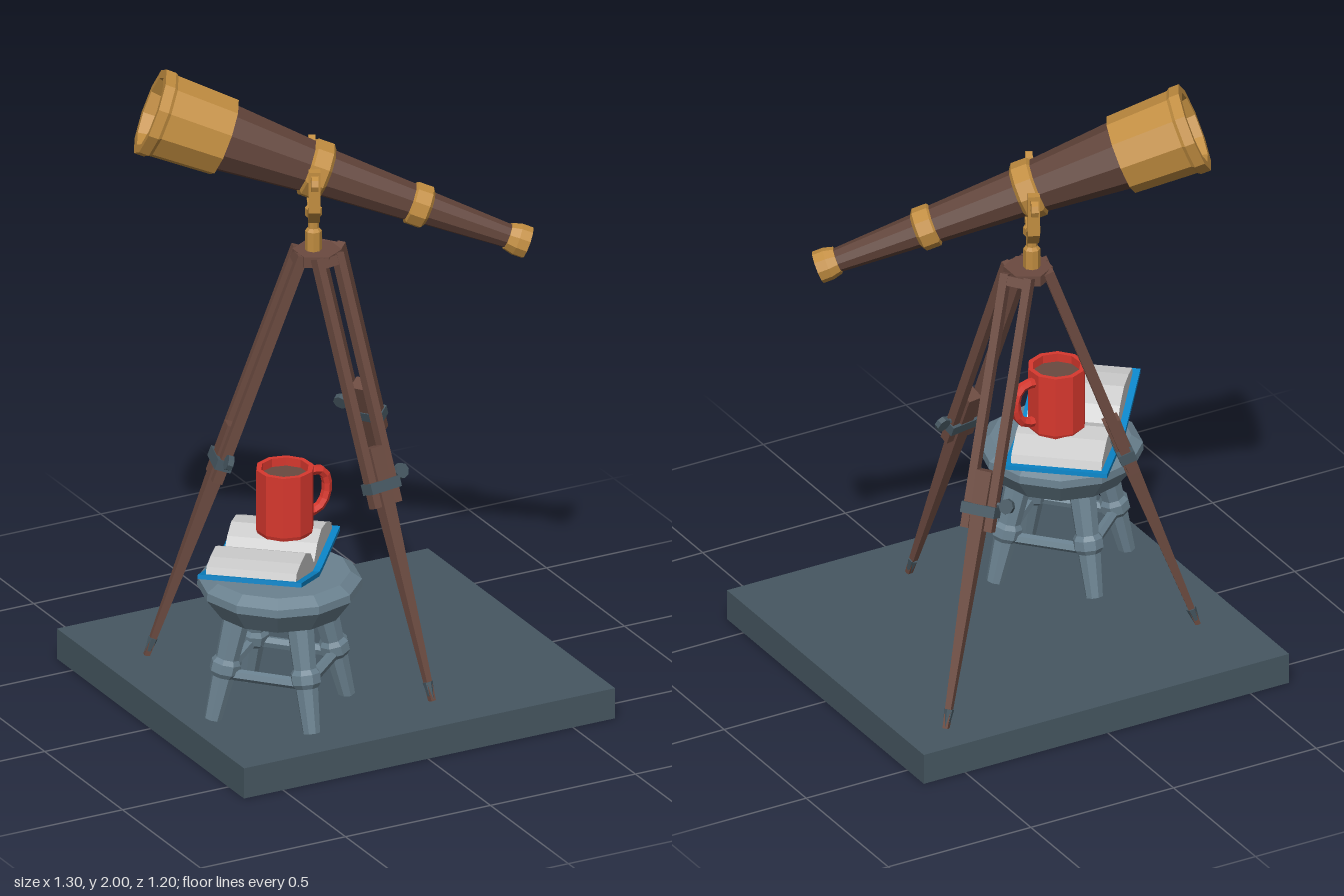
import * as THREE from 'three';

const V = (x, y, z) => new THREE.Vector3(x, y, z);
const mat = (color) => new THREE.MeshStandardMaterial({ color, flatShading: true, side: THREE.DoubleSide });

export function createModel() {
  const root = new THREE.Group();
  const slate = mat(0x465761), stoolGrey = mat(0x6b8290), wood = mat(0x6b4a40), tubeWood = mat(0x5f4238);
  const brass = mat(0xc18d40), glass = mat(0xc8d0d4), red = mat(0xd8382e), coffee = mat(0x6a4a40);
  const blue = mat(0x0a85c8), paper = mat(0xc8c8c8);

  const add = (parent, name, geometry, material, x = 0, y = 0, z = 0) => {
    const m = new THREE.Mesh(geometry, material);
    m.name = name;
    m.position.set(x, y, z);
    parent.add(m);
    return m;
  };
  const group = (name, parent = root) => {
    const g = new THREE.Group();
    g.name = name;
    parent.add(g);
    return g;
  };
  const box = (w, h, d) => new THREE.BoxGeometry(w, h, d);
  const cyl = (rTop, rBottom, h, n = 8) => new THREE.CylinderGeometry(rTop, rBottom, h, n);
  // Profile given as [radius, height] pairs
  const lathe = (pts, n = 10) => new THREE.LatheGeometry(pts.map((p) => new THREE.Vector2(p[0], p[1])), n);
  // Stand an object on point a with its y axis towards b
  const aim = (obj, a, b) => {
    obj.position.copy(a);
    obj.quaternion.setFromUnitVectors(V(0, 1, 0), b.clone().sub(a).normalize());
    return obj;
  };
  const extrude = (pts, depth) => {
    const s = new THREE.Shape(pts.map((p) => new THREE.Vector2(p[0], p[1])));
    return new THREE.ExtrudeGeometry(s, { depth, bevelEnabled: false }).translate(0, 0, -depth / 2);
  };

  // Floor slab
  add(root, 'floor', box(1.28, 0.1, 1.2), slate, 0.005, 0.05, 0);

  // Telescope: y runs from the eyepiece to the front lens
  const scope = aim(group('telescope'), V(0.585, 1.417, 0.15), V(-0.44, 1.867, -0.365));
  add(scope, 'eyepiece', lathe([[0.034, 0.02], [0.036, 0], [0.051, 0], [0.051, 0.035], [0.043, 0.065], [0.03, 0.065]]), brass);
  add(scope, 'eyepieceLens', cyl(0.036, 0.036, 0.01, 10), glass, 0, 0.02, 0);
  add(scope, 'rearTube', lathe([[0.037, 0.05], [0.055, 0.36]]), tubeWood);
  const band = (name, y, r, h) =>
    add(scope, name, lathe([[r - 0.015, y - h], [r, y - h * 0.7], [r, y + h * 0.7], [r - 0.015, y + h]]), brass);
  band('middleBand', 0.355, 0.068, 0.034);
  add(scope, 'middleTube', lathe([[0.058, 0.36], [0.077, 0.69]]), tubeWood);
  band('mountBand', 0.69, 0.093, 0.036);
  add(scope, 'frontTube', lathe([[0.08, 0.69], [0.108, 1.0]]), tubeWood);
  add(scope, 'hood', lathe([[0.1, 0.99], [0.124, 0.99], [0.133, 1.19], [0.14, 1.2], [0.14, 1.232], [0.112, 1.232], [0.1, 1.18]]), brass);
  add(scope, 'frontLens', lathe([[0.105, 1.185], [0.065, 1.2], [0, 1.205]]), glass);

  // Yoke, turned so its x axis crosses the telescope
  const mount = group('mount');
  mount.position.set(0.005, 0, -0.145);
  mount.rotation.y = Math.atan2(0.893, 0.449);
  add(mount, 'post', lathe([[0, 1.39], [0.026, 1.39], [0.026, 1.465], [0.017, 1.475], [0.017, 1.51], [0.026, 1.515], [0.026, 1.54], [0, 1.54]], 8), brass);
  const outer = [[-0.125, 1.71], [-0.125, 1.575], [-0.07, 1.52], [0.07, 1.52], [0.125, 1.575], [0.125, 1.71]];
  const inner = [[0.098, 1.71], [0.098, 1.59], [0.06, 1.547], [-0.06, 1.547], [-0.098, 1.59], [-0.098, 1.71]];
  add(mount, 'yoke', extrude([...outer, ...inner], 0.036), brass);
  for (const s of [-1, 1]) {
    add(mount, 'yokeScrew', cyl(0.012, 0.012, 0.08), brass, s * 0.115, 1.685, 0).rotation.z = Math.PI / 2;
    add(mount, 'yokeKnob', cyl(0.026, 0.026, 0.022), brass, s * 0.158, 1.687, 0).rotation.x = Math.PI / 2;
  }

  // Tripod
  const tripod = group('tripod');
  add(tripod, 'hub', cyl(0.075, 0.075, 0.035, 6), wood, 0.015, 1.385, -0.14);
  const tripodLegs = [
    [V(0.02, 1.4, -0.085), V(0.11, 0.1, 0.422)],
    [V(0.07, 1.4, -0.172), V(0.503, 0.1, -0.488)],
    [V(-0.035, 1.4, -0.158), V(-0.49, 0.1, -0.295)],
  ];
  for (const [top, foot] of tripodLegs) {
    // Local frame: y up the leg, x across it
    const leg = group('tripodLeg', tripod);
    const up = top.clone().sub(foot);
    const L = up.length();
    up.normalize();
    const side = V(foot.z - top.z, 0, top.x - foot.x).normalize();
    leg.quaternion.setFromRotationMatrix(new THREE.Matrix4().makeBasis(side, up, side.clone().cross(up)));
    leg.position.copy(foot);
    const slat = L * 0.56;
    for (const s of [-1, 1]) add(leg, 'upperSlat', box(0.026, slat, 0.032), wood, s * 0.039, L - slat / 2, 0);
    add(leg, 'topBlock', box(0.1, 0.03, 0.03), wood, 0, L - 0.02, 0);
    const lower = cyl(0.036, 0.012, L * 0.57, 4).rotateY(Math.PI / 4);
    add(leg, 'lowerLeg', lower, wood, 0, L * 0.285, 0);
    add(leg, 'footTip', cyl(0.016, 0.008, 0.06, 6), slate, 0, 0.03, 0);
    add(leg, 'clamp', box(0.112, 0.034, 0.052), slate, 0, L * 0.484, 0);
    add(leg, 'clampScrew', cyl(0.008, 0.008, 0.06, 6), slate, 0.06, L * 0.502, 0).rotation.z = Math.PI / 2;
    add(leg, 'clampKnob', cyl(0.024, 0.024, 0.018), slate, 0.083, L * 0.502, 0).rotation.x = Math.PI / 2;
  }

  // Stool
  const stool = group('stool');
  stool.position.set(-0.315, 0, 0.235);
  add(stool, 'seat', lathe([[0, 0.43], [0.2, 0.43], [0.252, 0.5], [0.25, 0.525], [0.215, 0.55], [0, 0.553]], 12), stoolGrey);
  const legPoint = (i, y) => {
    const r = 0.225 - (y - 0.1) * 0.25, a = (i * Math.PI) / 2 + 0.05;
    return V(Math.cos(a) * r, y, Math.sin(a) * r);
  };
  for (let i = 0; i < 4; i++) {
    const shape = lathe([[0, 0], [0.027, 0], [0.036, 0.14], [0.047, 0.155], [0.047, 0.185], [0.037, 0.2], [0.044, 0.35]], 8);
    aim(add(stool, 'stoolLeg', shape, stoolGrey), legPoint(i, 0.1), legPoint(i, 0.45));
    const a = legPoint(i, 0.245), b = legPoint((i + 1) % 4, 0.245);
    const len = a.distanceTo(b);
    aim(add(stool, 'stretcher', cyl(0.018, 0.018, len, 6).translate(0, len / 2, 0), stoolGrey), a, b);
  }

  // Open book: x runs across both pages, z along the spine
  const book = group('book');
  book.position.set(-0.342, 0, 0.215);
  book.rotation.y = Math.atan2(-0.765, -0.644);
  add(book, 'cover', extrude([[-0.288, 0.572], [-0.025, 0.552], [0.025, 0.552], [0.288, 0.628],
    [0.286, 0.642], [0.02, 0.566], [-0.02, 0.566], [-0.287, 0.586]], 0.322), blue);
  add(book, 'pages', extrude([[-0.268, 0.584], [-0.02, 0.564], [0.02, 0.564], [0.268, 0.634],
    [0.258, 0.658], [0.2, 0.667], [0.12, 0.668], [0.05, 0.638], [0, 0.585],
    [-0.05, 0.628], [-0.11, 0.65], [-0.18, 0.642], [-0.258, 0.61]], 0.28), paper);

  // Mug
  const mug = group('mug');
  mug.position.set(-0.253, 0.637, 0.152);
  mug.rotation.y = 0.07;
  add(mug, 'cup', lathe([[0, 0], [0.086, 0], [0.09, 0.012], [0.09, 0.21], [0.074, 0.21], [0.074, 0.17]]), red);
  add(mug, 'coffee', cyl(0.076, 0.076, 0.01, 10), coffee, 0, 0.178, 0);
  const path = new THREE.CatmullRomCurve3([V(0.075, 0.175, 0), V(0.122, 0.175, 0), V(0.148, 0.145, 0),
    V(0.146, 0.085, 0), V(0.118, 0.048, 0), V(0.075, 0.042, 0)]);
  add(mug, 'handle', new THREE.TubeGeometry(path, 9, 0.016, 6), red);

  return root;
}
